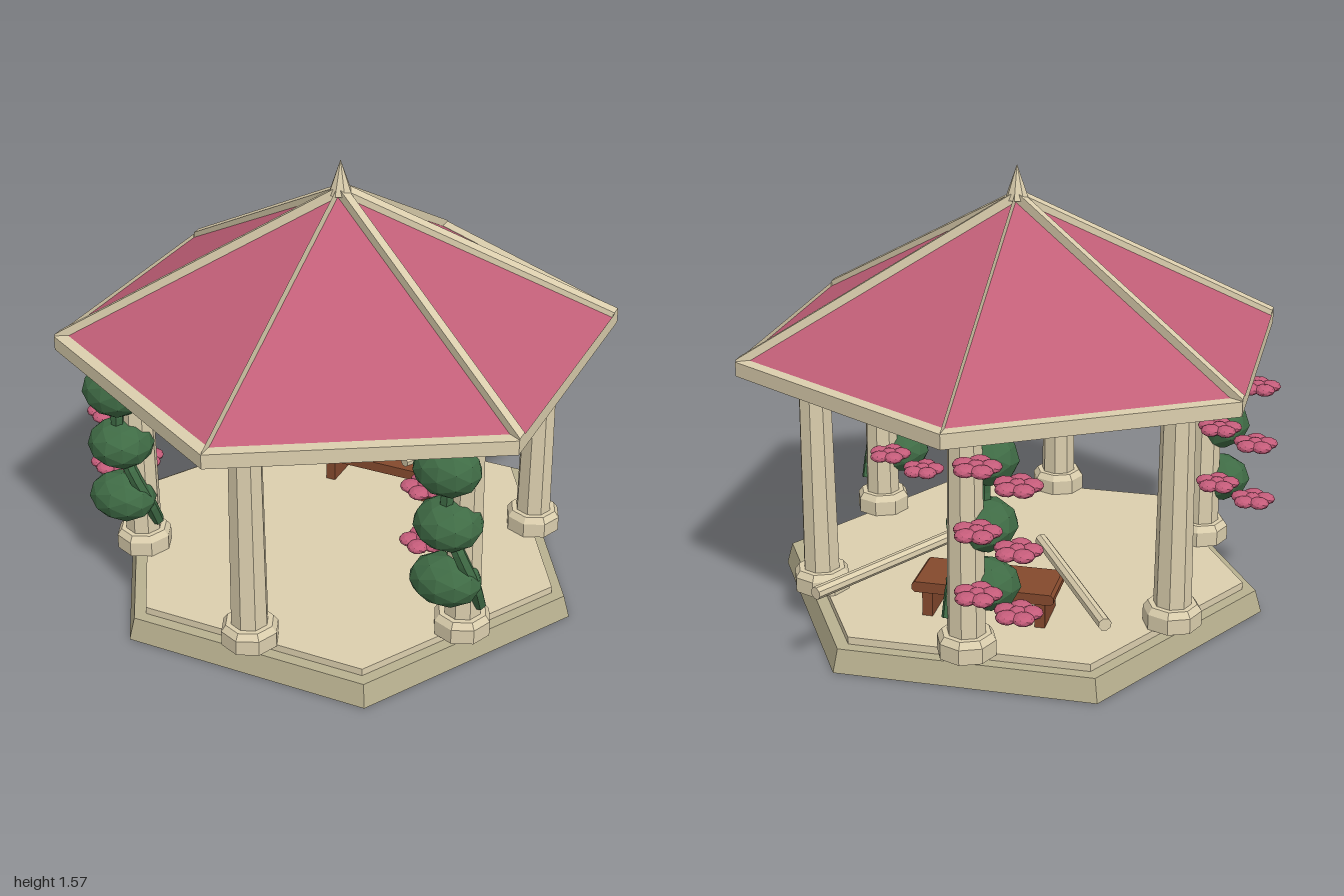
import * as THREE from 'three';

const mat = (name, color, side = THREE.FrontSide) => {
  const m = new THREE.MeshStandardMaterial({ color, flatShading: true, side });
  m.name = name;
  return m;
};

export function createModel() {
  const cream = mat('cream', 0xdccfae, THREE.DoubleSide);
  const stone = mat('stone', 0xb9b190);
  const rose = mat('rose', 0xc25f78, THREE.DoubleSide);
  const green = mat('leaf green', 0x3f6b45);
  const pink = mat('blossom pink', 0xc45c7a);
  const wood = mat('wood', 0x84492d);

  const model = new THREE.Group();
  model.name = 'gazebo';
  model.position.x = 0.01;

  const add = (parent, name, geo, material, x = 0, y = 0, z = 0) => {
    const m = new THREE.Mesh(geo, material);
    m.name = name;
    m.position.set(x, y, z);
    parent.add(m);
    return m;
  };
  const group = (parent, name, x = 0, y = 0, z = 0) => {
    const g = new THREE.Group();
    g.name = name;
    g.position.set(x, y, z);
    parent.add(g);
    return g;
  };
  // Point on a hexagon whose corners lie on the z axis
  const corner = (i, r, y) =>
    new THREE.Vector3(r * Math.sin(i * Math.PI / 3), y, r * Math.cos(i * Math.PI / 3));

  // Bar between two points; its section is always square in y and z
  const bar = (a, b, size) => {
    if (a.x > b.x) [a, b] = [b, a];
    const geo = new THREE.BoxGeometry(1, 1, 1);
    const p = geo.attributes.position;
    const v = new THREE.Vector3();
    for (let i = 0; i < p.count; i++) {
      v.lerpVectors(a, b, p.getX(i) + 0.5);
      p.setXYZ(i, v.x, v.y + p.getY(i) * size, v.z + p.getZ(i) * size);
    }
    geo.computeVertexNormals();
    return geo;
  };

  // Two-tier floor, turned so its corners lie on the x axis
  const base = add(model, 'base', new THREE.CylinderGeometry(0.867, 0.89, 0.08, 6), stone, 0, 0.04);
  const floor = add(model, 'floor', new THREE.CylinderGeometry(0.82, 0.82, 0.026, 6), cream, 0, 0.093);
  base.rotation.y = floor.rotation.y = Math.PI / 6;

  // Roof, beams, ribs and finial
  const roof = group(model, 'roof');
  add(roof, 'roofPanels', new THREE.ConeGeometry(0.97, 0.5, 6, 1, true), rose, 0, 1.205);
  const apex = new THREE.Vector3(0, 1.46, 0);
  for (let i = 0; i < 6; i++) {
    add(roof, 'eaveBeam', bar(corner(i, 0.97, 0.945), corner(i + 1, 0.97, 0.945), 0.05), cream);
    add(roof, 'roofRib', bar(corner(i, 0.97, 0.955), apex, 0.042), cream);
  }
  add(roof, 'finial', new THREE.ConeGeometry(0.042, 0.12, 8), cream, 0, 1.51);

  // Columns
  const profile = [[0, 0.106], [0.1, 0.106], [0.1, 0.16], [0.084, 0.182], [0.065, 0.182],
    [0.057, 0.855], [0.07, 0.855], [0.095, 0.905], [0.095, 0.922], [0, 0.922]]
    .map(([r, y]) => new THREE.Vector2(r, y));
  const columnGeo = new THREE.LatheGeometry(profile, 8);

  // Climbing plant pieces
  const blobGeo = new THREE.IcosahedronGeometry(1, 1);
  const stemCurve = new THREE.CatmullRomCurve3([
    [0.06, 0.22, 0], [0.055, 0.33, 0.05], [0.01, 0.45, 0.075], [-0.045, 0.56, 0.06],
    [-0.045, 0.67, 0.06], [-0.06, 0.78, 0.05]].map(p => new THREE.Vector3(...p)));
  const stemGeo = new THREE.TubeGeometry(stemCurve, 14, 0.024, 6);

  const addFlower = (parent, x, y, z) => {
    const flower = group(parent, 'flower', x, y, z);
    add(flower, 'flowerCentre', blobGeo, pink).scale.set(0.03, 0.023, 0.03);
    for (let k = 0; k < 5; k++) {
      const a = k * Math.PI * 2 / 5;
      add(flower, 'petal', blobGeo, pink, 0.045 * Math.sin(a), 0, 0.045 * Math.cos(a))
        .scale.set(0.037, 0.02, 0.037);
    }
  };
  const addVine = (parent) => {
    const vine = group(parent, 'vine');
    add(vine, 'stem', stemGeo, green);
    // Each row: height, z offset, half sizes
    for (const [y, z, rx, ry, rz] of [
      [0.33, 0.06, 0.127, 0.09, 0.098],
      [0.545, 0.05, 0.12, 0.09, 0.112],
      [0.762, 0.075, 0.118, 0.092, 0.092]]) {
      add(vine, 'foliage', blobGeo, green, -0.042, y, z).scale.set(rx, ry, rz);
      addFlower(vine, -0.2, y, -0.125);
      addFlower(vine, -0.07, y + 0.05, -0.125);
    }
  };
  for (let i = 0; i < 6; i++) {
    const p = corner(i, 0.717, 0);
    const col = group(model, 'columnGroup', p.x, 0, p.z);
    add(col, 'column', columnGeo, cream);
    if (i % 2 === 1) addVine(col);
  }

  // Rails crossing the two rear sides
  for (const s of [-1, 1]) {
    const rail = add(model, 'rail', new THREE.CylinderGeometry(0.022, 0.022, 0.66, 8), cream,
      s * 0.31, 0.313, -0.537);
    rail.quaternion.setFromUnitVectors(new THREE.Vector3(0, 1, 0),
      new THREE.Vector3(s * 0.5, 0, -Math.sqrt(0.75)));
  }

  // Bench: seat with chamfered ends on two slab legs
  const bench = group(model, 'bench', 0, 0, -0.415);
  const w = 0.245, h = 0.019, c = 0.01;
  const seatShape = new THREE.Shape([[-w, -h + c], [-w + c, -h], [w - c, -h], [w, -h + c],
    [w, h - c], [w - c, h], [-w + c, h], [-w, h - c]].map(p => new THREE.Vector2(...p)));
  const seatGeo = new THREE.ExtrudeGeometry(seatShape, { depth: 0.2, bevelEnabled: false });
  add(bench, 'seat', seatGeo, wood, 0, 0.217, -0.1);
  for (const s of [-1, 1])
    add(bench, 'benchLeg', new THREE.BoxGeometry(0.036, 0.1, 0.17), wood, s * 0.195, 0.152, 0);

  return model;
}
